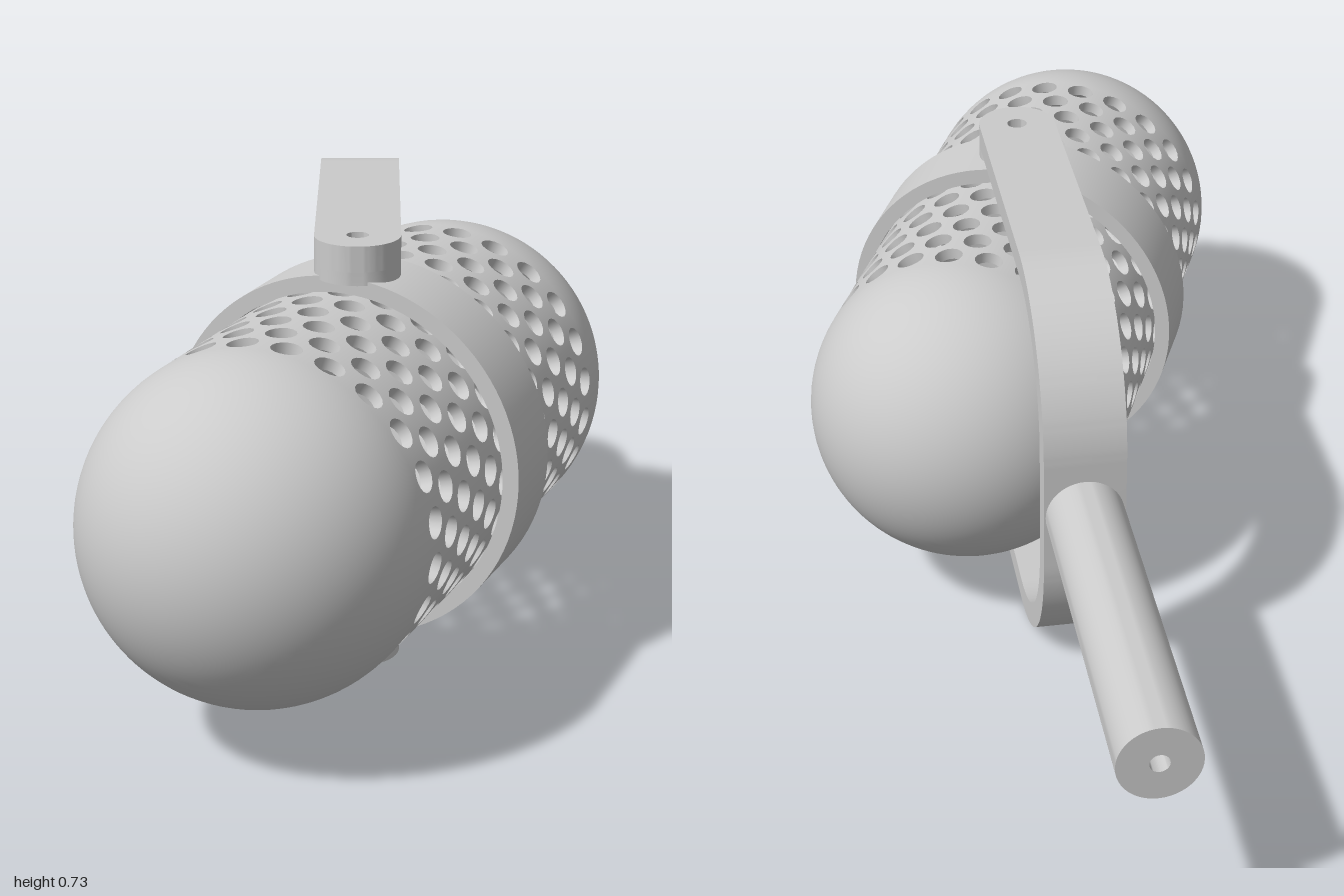
import * as THREE from 'three';
import { toCreasedNormals } from 'three/addons/utils/BufferGeometryUtils.js';

const mat = new THREE.MeshStandardMaterial({ color: 0xcccccc });
const innerMat = new THREE.MeshStandardMaterial({ color: 0xcccccc, side: THREE.BackSide });

const H = 0.727;                 // yoke height
const ARM_T = 0.043, ARM_W = 0.14;
const PIVOT_Z = 0.385, BEND_Z = -0.1, BEND_R = 0.265;
const R = 0.28, R_IN = 0.26, HALF = 0.38; // shell radii, half length of straight part
const COLS = 24, ROWS = 13, HOLE_R = 0.025;

function part(name, geometry, material = mat) {
  const mesh = new THREE.Mesh(geometry, material);
  mesh.name = name;
  return mesh;
}

function extrude(shape, depth) {
  const g = new THREE.ExtrudeGeometry(shape, { depth, bevelEnabled: false, curveSegments: 24 });
  return toCreasedNormals(g, 0.6);
}

function addHole(shape, x, y, r) {
  shape.holes.push(new THREE.Path().absarc(x, y, r, 0, Math.PI * 2, true));
  return shape;
}

// Rolled sheet of square cells, each with a round hole, in brick-offset rows
function perforatedTube() {
  const pos = [], nor = [];
  const da = Math.PI * 2 / COLS, h = 2 * HALF / ROWS, N = 16;

  const put = (v, kind) => {
    const [a, s, r, phi] = v, sa = Math.sin(a), ca = Math.cos(a);
    pos.push(r * sa, r * ca, s);
    if (kind === 'wall') nor.push(-Math.cos(phi) * ca, Math.cos(phi) * sa, -Math.sin(phi));
    else nor.push(kind * sa, kind * ca, 0);
  };
  const quad = (a, b, c, d, kind) => [a, b, c, a, c, d].forEach(v => put(v, kind));

  for (let row = 0; row < ROWS; row++) {
    const s0 = (row - (ROWS - 1) / 2) * h;
    for (let col = 0; col < COLS; col++) {
      const a0 = (col + (row % 2 ? 0 : 0.5)) * da;
      const rim = (i, r) => {
        const side = Math.floor(i / 4) % 4, t = (i % 4) / 4 - 0.5;
        const [u, v] = [[-t, 0.5], [-0.5, -t], [t, -0.5], [0.5, t]][side];
        return [a0 + u * da, s0 + v * h, r, 0];
      };
      const hole = (i, r) => {
        const phi = Math.PI / 4 + i * Math.PI * 2 / N;
        return [a0 + HOLE_R * Math.cos(phi) / R, s0 + HOLE_R * Math.sin(phi), r, phi];
      };
      for (let i = 0; i < N; i++) {
        quad(hole(i, R), hole(i + 1, R), rim(i + 1, R), rim(i, R), 1);
        quad(rim(i, R_IN), rim(i + 1, R_IN), hole(i + 1, R_IN), hole(i, R_IN), -1);
        quad(hole(i, R), hole(i, R_IN), hole(i + 1, R_IN), hole(i + 1, R), 'wall');
      }
    }
  }
  const g = new THREE.BufferGeometry();
  g.setAttribute('position', new THREE.Float32BufferAttribute(pos, 3));
  g.setAttribute('normal', new THREE.Float32BufferAttribute(nor, 3));
  return g;
}

// Capsule head: perforated middle, two domes and a clamping band, axis along z
function createHead() {
  const head = new THREE.Group();
  head.name = 'capsuleHead';
  head.add(part('perforatedShell', perforatedTube()));

  for (const [name, dir] of [['frontDome', 1], ['backDome', -1]]) {
    const dome = new THREE.Group();
    dome.name = name;
    const half = r => new THREE.SphereGeometry(r, 96, 24, 0, Math.PI * 2, 0, Math.PI / 2)
      .rotateX(dir * Math.PI / 2);
    dome.add(part(name + 'Outside', half(R)), part(name + 'Inside', half(R_IN), innerMat));
    dome.position.z = dir * HALF;
    head.add(dome);
  }

  const profile = [[0.281, -0.07], [0.308, -0.07], [0.308, 0.07], [0.281, 0.07], [0.281, -0.07]]
    .map(p => new THREE.Vector2(...p));
  const band = new THREE.LatheGeometry(profile, 96).rotateX(Math.PI / 2);
  head.add(part('band', toCreasedNormals(band, 0.6)));

  head.position.set(0, H / 2, 0.37);
  head.rotation.y = -0.4;
  return head;
}

// U-shaped yoke: two round-ended arms, pivot bosses and a curved back bow
function createYoke() {
  const yoke = new THREE.Group();
  yoke.name = 'yoke';
  const w = ARM_W / 2;

  const armShape = new THREE.Shape();
  armShape.moveTo(-w, BEND_Z);
  armShape.lineTo(w, BEND_Z);
  armShape.absarc(0, PIVOT_Z, w, 0, Math.PI, false);
  armShape.closePath();
  addHole(armShape, 0, PIVOT_Z, 0.018);

  const bossShape = new THREE.Shape().absarc(0, PIVOT_Z, w, 0, Math.PI * 2, false);
  addHole(bossShape, 0, PIVOT_Z, 0.018);

  const bossT = 0.022;
  for (const [name, armTop, bossTop] of [['upper', H, H - ARM_T], ['lower', ARM_T, ARM_T + bossT]]) {
    const arm = part(name + 'Arm', extrude(armShape, ARM_T).rotateX(Math.PI / 2));
    arm.position.y = armTop;
    const boss = part(name + 'PivotBoss', extrude(bossShape, bossT).rotateX(Math.PI / 2));
    boss.position.y = bossTop;
    yoke.add(arm, boss);
  }

  const P = Math.PI, ri = BEND_R - ARM_T;
  const bow = new THREE.Shape();
  bow.moveTo(BEND_Z, 0);
  bow.absarc(BEND_Z, BEND_R, BEND_R, 1.5 * P, P, true);
  bow.absarc(BEND_Z, H - BEND_R, BEND_R, P, P / 2, true);
  bow.lineTo(BEND_Z, H - ARM_T);
  bow.absarc(BEND_Z, H - BEND_R, ri, P / 2, P, false);
  bow.absarc(BEND_Z, BEND_R, ri, P, 1.5 * P, false);
  bow.closePath();
  const bowMesh = part('backBow', extrude(bow, ARM_W).rotateY(-P / 2));
  bowMesh.position.x = w;
  yoke.add(bowMesh);
  return yoke;
}

export function createModel() {
  const model = new THREE.Group();
  model.name = 'yokeMicrophone';
  model.add(createHead(), createYoke());

  // Mounting rod with a small bore in its end
  const rod = new THREE.Shape().absarc(0, 0, 0.067, 0, Math.PI * 2, false);
  const rodMesh = part('mountingRod', extrude(addHole(rod, 0, 0, 0.016), 0.645));
  rodMesh.position.set(0, H / 2, -1);
  model.add(rodMesh);
  return model;
}
